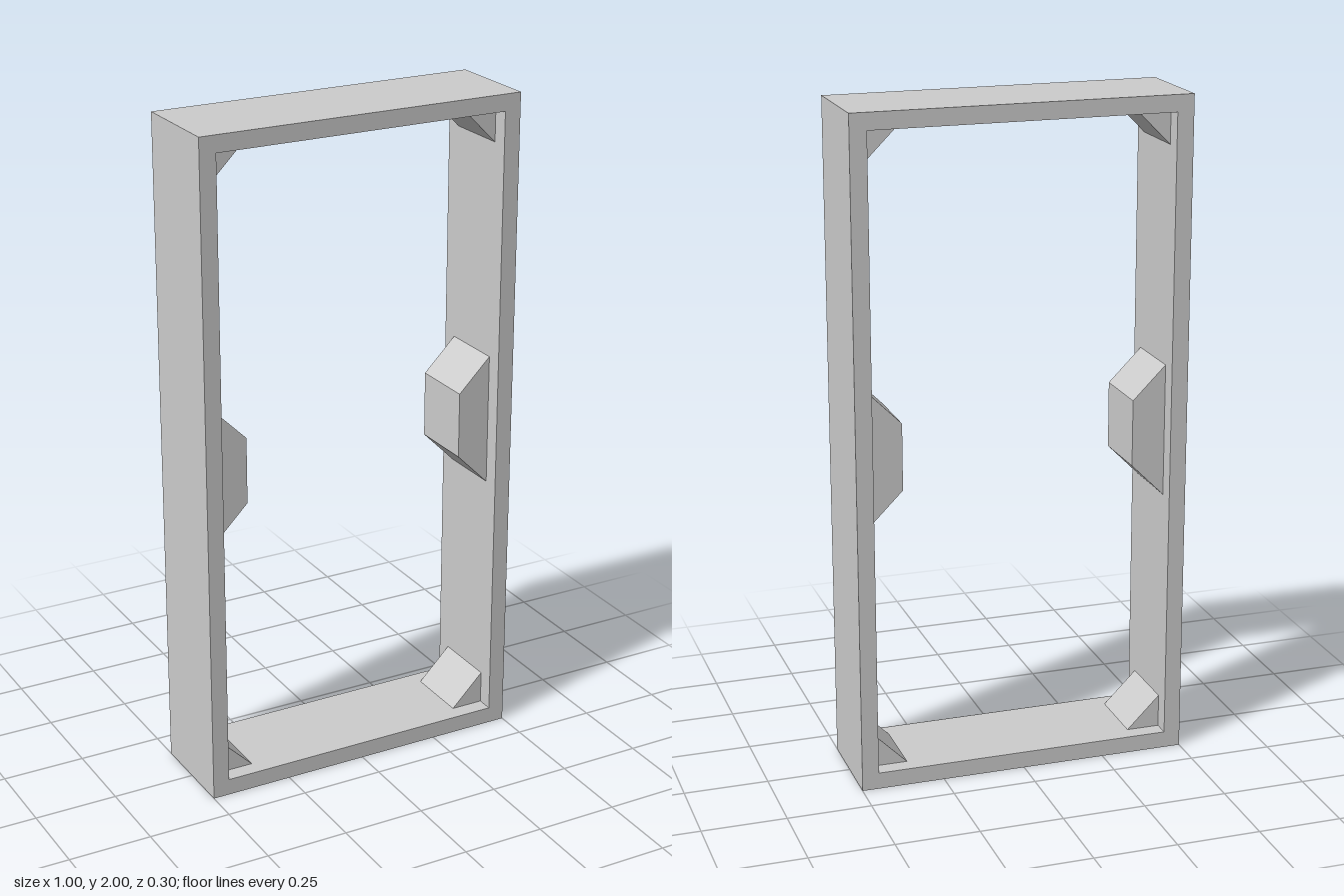
import * as THREE from 'three';

const W = 0.5, H = 2, T = 0.05; // half width, height, wall thickness
const FRAME_DEPTH = 0.3, BLOCK_DEPTH = 0.2;

const material = new THREE.MeshStandardMaterial({ color: 0xcccccc, flatShading: true });

const outline = (points) => points.map(([x, y]) => new THREE.Vector2(x, y));

// Extrudes a front-view shape, centred on z = 0
function slab(name, shape, depth) {
  const geometry = new THREE.ExtrudeGeometry(shape, { depth, bevelEnabled: false });
  geometry.translate(0, 0, -depth / 2);
  const mesh = new THREE.Mesh(geometry, material);
  mesh.name = name;
  return mesh;
}

export function createModel() {
  const model = new THREE.Group();
  model.name = 'doorFrame';

  // Rectangular frame, open through the middle
  const frame = new THREE.Shape(outline([[-W, 0], [W, 0], [W, H], [-W, H]]));
  const x = W - T;
  frame.holes.push(new THREE.Path(outline([[-x, T], [-x, H - T], [x, H - T], [x, T]])));
  model.add(slab('frame', frame, FRAME_DEPTH));

  for (const [side, s] of [['left', 1], ['right', -1]]) {
    // Tapered block halfway up each side wall
    const block = outline([[s * x, 0.8], [s * x, 1.2], [s * (x - 0.1), 1.1], [s * (x - 0.1), 0.9]]);
    model.add(slab(`${side}SideBlock`, new THREE.Shape(block), BLOCK_DEPTH));

    // Triangular gussets in the corners
    for (const [level, y, up] of [['Bottom', T, 1], ['Top', H - T, -1]]) {
      const gusset = outline([[s * x, y], [s * (x - 0.1), y], [s * x, y + up * 0.1]]);
      model.add(slab(`${side}${level}Gusset`, new THREE.Shape(gusset), BLOCK_DEPTH));
    }
  }
  return model;
}
